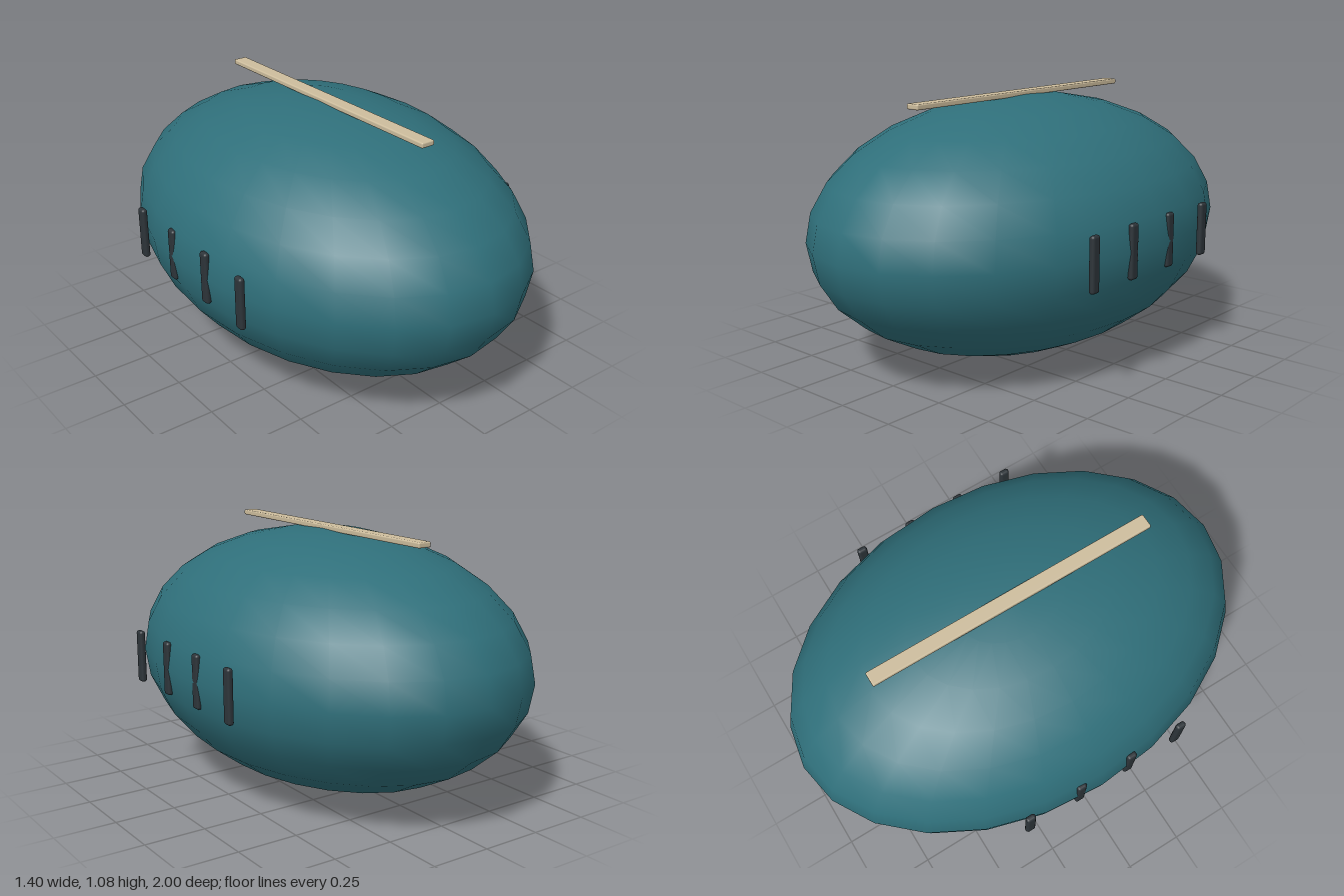
import * as THREE from 'three';
import { RoundedBoxGeometry } from 'three/addons/geometries/RoundedBoxGeometry.js';

function flat(name, color) {
  const m = new THREE.MeshStandardMaterial({ color });
  m.name = name;
  return m;
}

export function createModel() {
  const model = new THREE.Group();
  model.name = 'ovalShell';
  const teal = flat('teal', 0x2f6f7a);
  const cream = flat('cream', 0xcdbd9d);
  const charcoal = flat('charcoal', 0x2d3439);

  const add = (name, geometry, material, x, y, z) => {
    const mesh = new THREE.Mesh(geometry, material);
    mesh.name = name;
    mesh.position.set(x, y, z);
    model.add(mesh);
  };

  // Smooth ellipsoid shell
  const shell = new THREE.SphereGeometry(1, 24, 14).scale(0.702, 0.531, 1);
  add('shell', shell, teal, 0, 0.535, 0);

  // Straight strip resting on the crown
  add('topStrip', new RoundedBoxGeometry(0.06, 0.022, 1.236, 2, 0.006), cream, 0, 1.068, 0);

  // Four upright vent bars on each side, the middle ones partly sunk in the shell
  const bar = new RoundedBoxGeometry(0.025, 0.218, 0.043, 3, 0.011);
  for (const side of [-1, 1]) {
    for (let i = 0; i < 4; i++) {
      add(side > 0 ? 'leftVent' : 'rightVent', bar, charcoal, side * 0.681, 0.537, 0.382 - i * 0.2385);
    }
  }
  return model;
}
